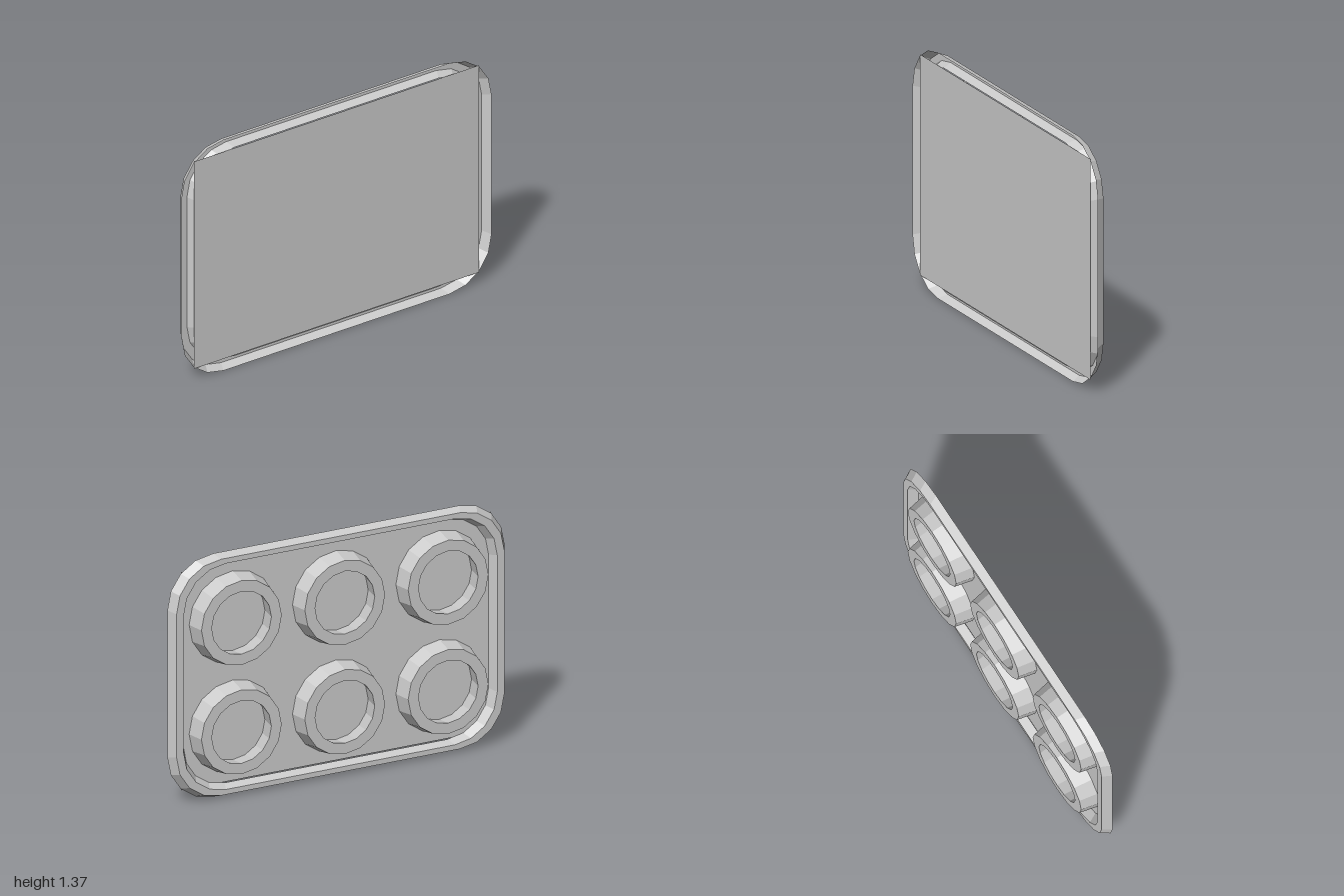
import * as THREE from 'three';

const HALF_W = 1, HALF_H = 0.685, CORNER = 0.27, CORNER_STEPS = 4;

// Rounded rectangle as a counter-clockwise loop of [x, y]
function roundedLoop() {
  const pts = [];
  for (let q = 0; q < 4; q++) {
    const cx = (q === 0 || q === 3 ? 1 : -1) * (HALF_W - CORNER);
    const cy = (q < 2 ? 1 : -1) * (HALF_H - CORNER);
    for (let k = 0; k <= CORNER_STEPS; k++) {
      const a = (q + k / CORNER_STEPS) * Math.PI / 2;
      pts.push([cx + CORNER * Math.cos(a), cy + CORNER * Math.sin(a)]);
    }
  }
  return pts;
}

// Skin a loop along a list of [scale, z] sections
function sweepSections(loop, sections) {
  const pos = [], idx = [], n = loop.length;
  for (const [s, z] of sections) for (const [x, y] of loop) pos.push(x * s, y * s, z);
  for (let j = 0; j < sections.length - 1; j++) {
    for (let i = 0; i < n; i++) {
      const k = (i + 1) % n;
      const a = j * n + i, b = j * n + k, c = a + n, d = b + n;
      idx.push(a, c, b, b, c, d);
    }
  }
  const g = new THREE.BufferGeometry();
  g.setAttribute('position', new THREE.Float32BufferAttribute(pos, 3));
  g.setIndex(idx);
  g.computeVertexNormals();
  return g;
}

export function createModel() {
  const group = new THREE.Group();
  group.name = 'muffinTray';
  const material = new THREE.MeshStandardMaterial({
    color: 0xcccccc, flatShading: true, side: THREE.DoubleSide,
  });
  const add = (name, geometry, x = 0, y = 0, z = 0) => {
    const mesh = new THREE.Mesh(geometry, material);
    mesh.name = name;
    mesh.position.set(x, HALF_H + y, z);
    group.add(mesh);
  };

  // Folded rim: outer wall, flat lip, inner wall
  add('rim', sweepSections(roundedLoop(), [[1, 0.05], [0.972, 0], [0.93, 0], [0.905, 0.05]]));

  // Flat rectangular sheet
  add('basePlate', new THREE.PlaneGeometry(1.84, 1.23), 0, 0, 0.05);

  // Tapered rings opening to the back
  const profile = [[0.258, -0.05], [0.238, 0.05], [0.177, 0.05], [0.191, -0.05]]
    .map(([r, h]) => new THREE.Vector2(r, h));
  const cup = new THREE.LatheGeometry(profile, 16).rotateX(-Math.PI / 2);
  for (const row of [-1, 1]) {
    for (const col of [-1, 0, 1]) add('cupRing', cup, col * 0.613, row * 0.308);
  }
  return group;
}
